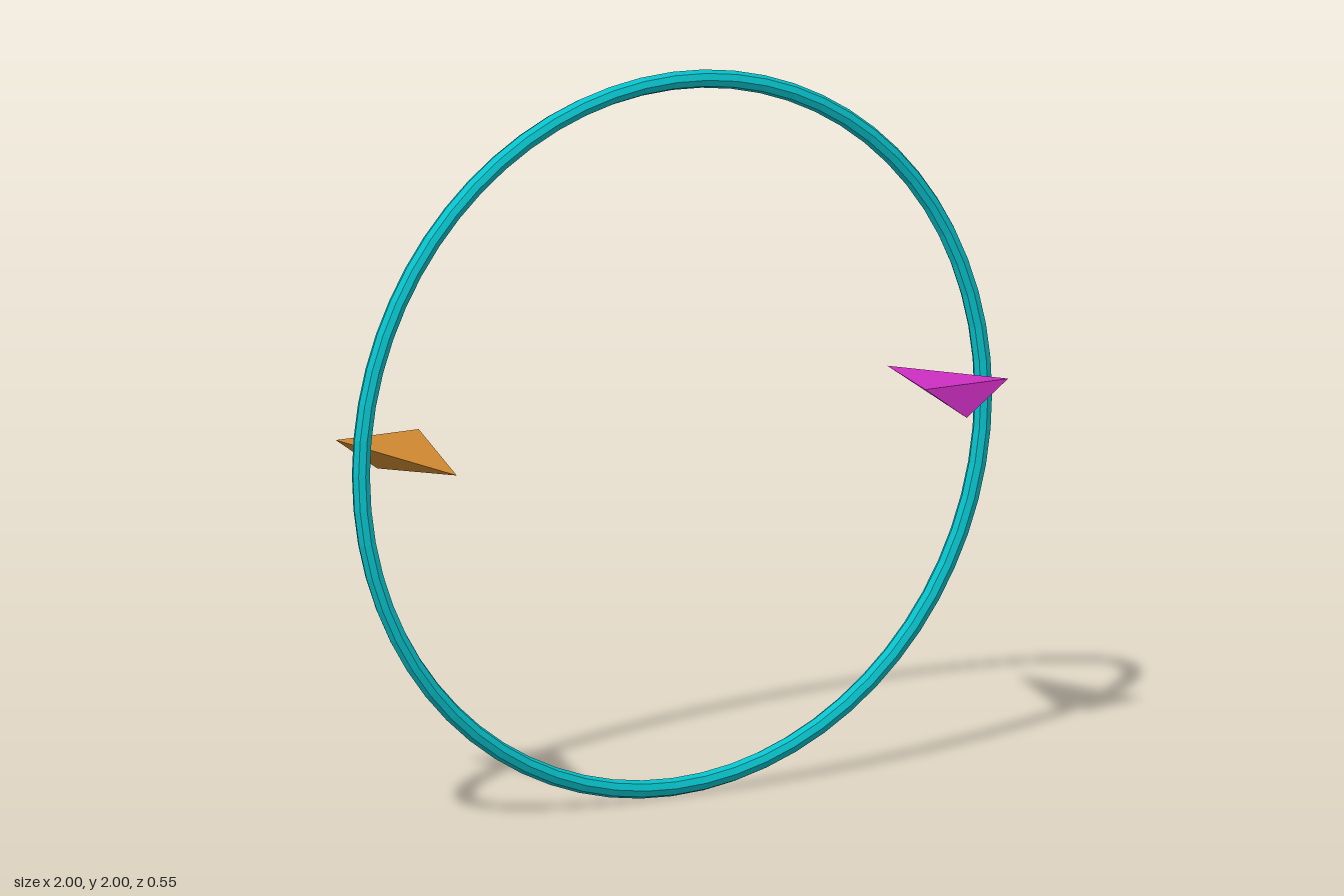
import * as THREE from 'three';

const material = (name, color) => {
  const m = new THREE.MeshStandardMaterial({ color, flatShading: true });
  m.name = name;
  return m;
};

export function createModel() {
  const group = new THREE.Group();
  const teal = material('teal', 0x08bfc8);
  const amber = material('amber', 0xcd8832);
  const magenta = material('magenta', 0xd02fc4);

  // Upright eight-sided hoop
  const ring = new THREE.Mesh(new THREE.TorusGeometry(0.975, 0.025, 8, 64), teal);
  ring.name = 'ring';
  ring.position.y = 1;
  group.add(ring);

  // Flattened three-sided dart: flat side up, keel down, tip towards +z
  const dart = new THREE.ConeGeometry(0.15, 0.418, 3);
  dart.rotateX(Math.PI / 2);
  dart.scale(1, 0.415, 1);
  dart.translate(0, 0, 0.065);

  // Two darts on opposite sides, flying in opposite directions
  const addDart = (name, mat, x, turn) => {
    const mesh = new THREE.Mesh(dart, mat);
    mesh.name = name;
    mesh.position.set(x, 1.037, 0);
    mesh.rotation.y = turn;
    group.add(mesh);
  };
  addDart('rightDart', amber, -0.838, 0);
  addDart('leftDart', magenta, 0.838, Math.PI);

  return group;
}
